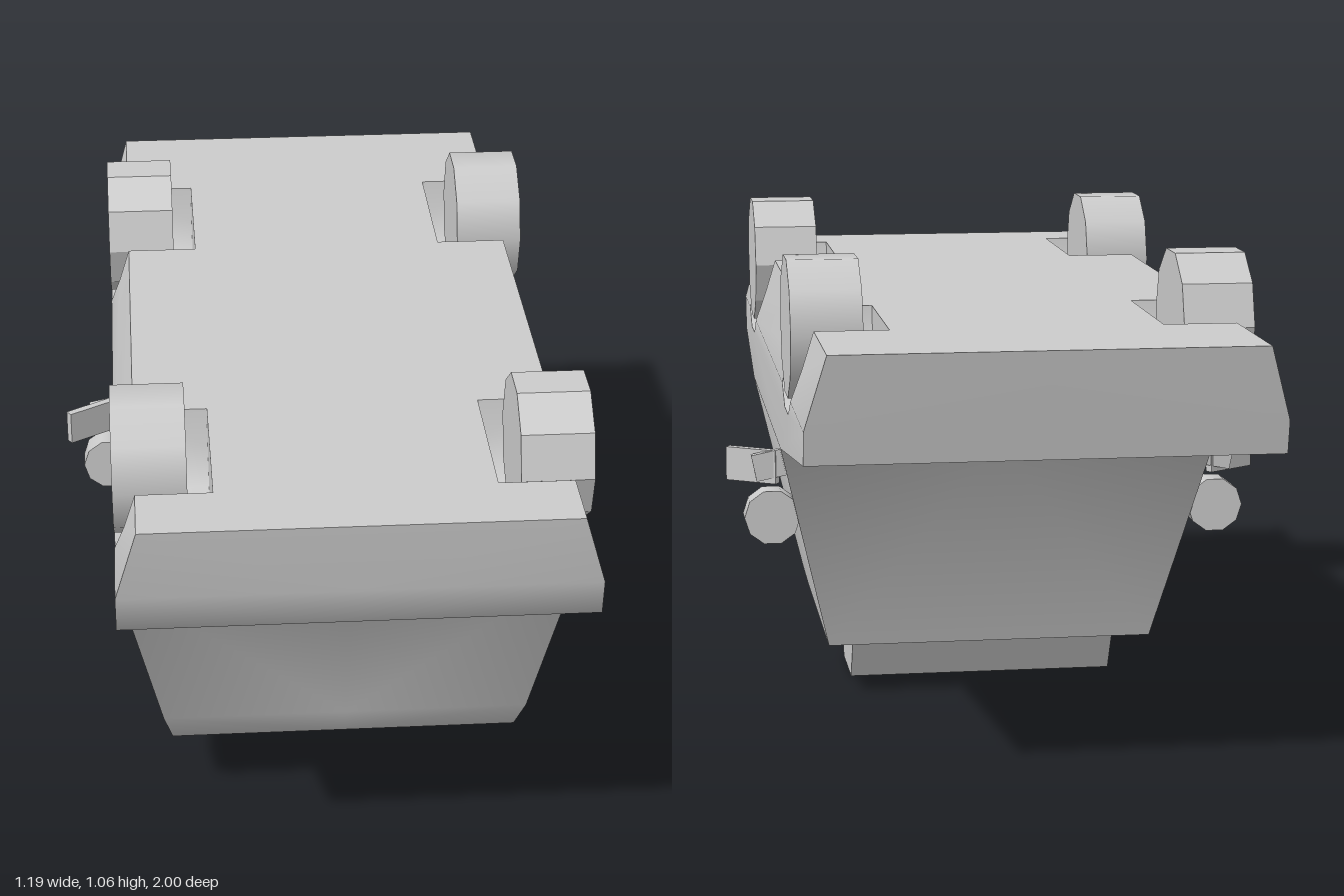
import * as THREE from 'three';
import { toCreasedNormals } from 'three/addons/utils/BufferGeometryUtils.js';

const grey = new THREE.MeshStandardMaterial({ color: 0xcccccc });
const flat = new THREE.MeshStandardMaterial({ color: 0xcccccc, flatShading: true });

const DECK = 0.925, BELT = 0.77, SILL = 0.61, WELL_X = 0.285;
const AXLES = [0.665, -0.505];

// Half width of the hull at a height
function halfWidth(y) {
  if (y > BELT) return 0.485 - 0.045 * (y - BELT) / (DECK - BELT);
  if (y < SILL) return 0.37 + 0.115 * (y - 0.12) / (SILL - 0.12);
  return 0.485;
}

// Wheel well outline as [z, y], from front to back
function well(c) {
  const half = [[0.18, DECK], [0.165, 0.845], [0.12, BELT], [0.05, 0.73]];
  return [
    ...half.map(([d, y]) => [c + d, y]),
    ...half.slice().reverse().map(([d, y]) => [c - d, y]),
  ];
}

function createHull() {
  const out = [];
  let s = 1;
  const tri = (a, b, c) => {
    for (const p of s > 0 ? [a, b, c] : [a, c, b]) out.push(s * p[0], p[1], p[2]);
  };
  // Surface running across the car along a [z, y] line
  const strip = (pts, x0, x1) => {
    for (let i = 0; i < pts.length - 1; i++) {
      const [a, b] = [pts[i], pts[i + 1]];
      const at = (x, p) => [x(p[1]), p[1], p[0]];
      tri(at(x0, a), at(x1, a), at(x1, b));
      tri(at(x0, a), at(x1, b), at(x0, b));
    }
  };
  // Sideways facing panel from a counter-clockwise [z, y] polygon
  const panel = (pts, x) => {
    const v = pts.map(([z, y]) => new THREE.Vector2(z, y));
    const at = (i) => [x(pts[i][1]), pts[i][1], pts[i][0]];
    for (const [a, b, c] of THREE.ShapeUtils.triangulateShape(v, [])) tri(at(a), at(c), at(b));
  };

  const [front, rear] = AXLES.map(well);
  const back = [[-1, DECK], [-0.973, BELT], [-0.96, 0.7], [-0.3, SILL]];
  const cabin = [[-0.14, 0.12], [0.46, 0.12], [0.55, 0.15], [0.6, 0.23]];
  const nose = [[0.665, SILL], [0.97, 0.69], [0.985, BELT], [1, DECK]];
  const centre = () => 0, inner = () => WELL_X;

  for (s of [1, -1]) {
    // Ends, windows and cabin, then the deck and the well walls
    strip([...back, ...cabin, ...nose], centre, halfWidth);
    strip([nose[3], back[0]], centre, inner);
    strip([nose[3], ...front, ...rear, back[0]], inner, halfWidth);
    panel(front.slice().reverse(), inner);
    panel(rear.slice().reverse(), inner);
    // Side panels: cabin, waist, and the three pieces between the wells
    panel([nose[0], back[3], ...cabin], halfWidth);
    panel([nose[2], ...front.slice(2, 6), ...rear.slice(2, 6), ...back.slice(1), nose[0], nose[1]], halfWidth);
    panel([nose[3], ...front.slice(0, 3), nose[2]], halfWidth);
    panel([...front.slice(5), ...rear.slice(0, 3)], halfWidth);
    panel([...rear.slice(5), back[0], back[1]], halfWidth);
  }
  const geo = new THREE.BufferGeometry();
  geo.setAttribute('position', new THREE.Float32BufferAttribute(out, 3));
  return toCreasedNormals(geo, 1.2);
}

export function createModel() {
  const model = new THREE.Group();
  const add = (name, geo, mat = grey) => {
    const m = new THREE.Mesh(geo, mat);
    m.name = name;
    model.add(m);
    return m;
  };

  add('hull', createHull());

  // Tapered pod under the cabin
  const pod = new THREE.Shape([[-0.28, 0.125], [0.04, 0.125], [-0.03, 0], [-0.215, 0]]
    .map(([a, b]) => new THREE.Vector2(a, b)));
  const podGeo = new THREE.ExtrudeGeometry(pod, { depth: 0.61, bevelEnabled: false });
  podGeo.translate(0, 0, -0.305).rotateY(Math.PI / 2);
  add('pod', podGeo, flat);

  for (const s of [1, -1]) {
    const side = s > 0 ? 'left' : 'right';

    // Ten-sided wheels
    AXLES.forEach((z, i) => {
      const geo = new THREE.CylinderGeometry(0.153, 0.153, 0.15, 10);
      geo.rotateZ(Math.PI / 2).translate(s * 0.41, 0.91, z);
      add(side + (i ? 'RearWheel' : 'FrontWheel'), geo, s * z > 0 ? flat : grey);
    });

    // Round lamp
    const lamp = new THREE.CylinderGeometry(0.062, 0.062, 0.06, 10);
    lamp.rotateY(Math.PI / 10).rotateX(Math.PI / 2).translate(s * 0.5, 0.442, -0.203);
    add(side + 'Lamp', lamp);

    // Angled mirror plate and its arm
    const plate = add(side + 'Mirror', new THREE.BoxGeometry(0.125, 0.075, 0.018), flat);
    plate.position.set(s * 0.54, 0.554, -0.188);
    plate.rotation.y = -s * 0.57;
    const arm = add(side + 'MirrorArm', new THREE.BoxGeometry(0.08, 0.06, 0.018), flat);
    arm.position.set(s * 0.5, 0.56, -0.218);
    arm.rotation.z = -s * 0.2;
  }
  return model;
}
